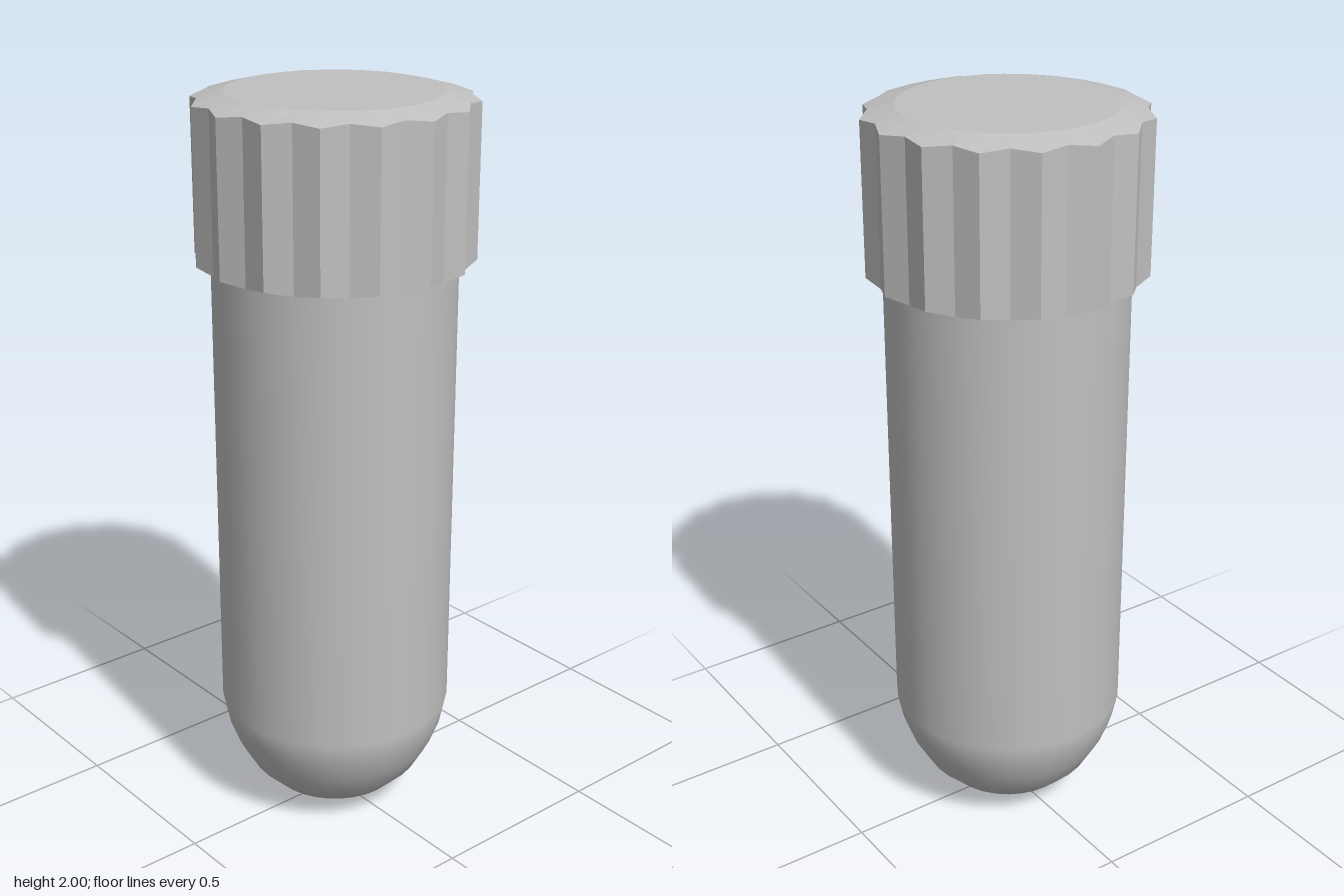
import * as THREE from 'three';

const RIDGES = 16;

// Fluted cap: loops of [tip radius, tip height, valley radius, valley height], bottom to top.
function fluteGeometry(loops) {
  const n = RIDGES * 2;
  const positions = [];
  const index = [];
  for (const [tipR, tipY, valleyR, valleyY] of loops) {
    for (let j = 0; j < n; j++) {
      const a = (j / n) * Math.PI * 2;
      const r = j % 2 ? valleyR : tipR;
      positions.push(r * Math.sin(a), j % 2 ? valleyY : tipY, r * Math.cos(a));
    }
  }
  for (let i = 0; i < loops.length - 1; i++) {
    for (let j = 0; j < n; j++) {
      const a = i * n + j;
      const b = i * n + ((j + 1) % n);
      index.push(a, b, b + n, a, b + n, a + n);
    }
  }
  // Flat disc closing the top
  const top = (loops.length - 1) * n;
  positions.push(0, loops[loops.length - 1][1], 0);
  for (let j = 0; j < n; j++) index.push(top + j, top + ((j + 1) % n), loops.length * n);

  const indexed = new THREE.BufferGeometry();
  indexed.setAttribute('position', new THREE.Float32BufferAttribute(positions, 3));
  indexed.setIndex(index);
  const flat = indexed.toNonIndexed(); // separate faces keep every flute crisp
  flat.computeVertexNormals();
  return flat;
}

export function createModel() {
  const group = new THREE.Group();
  group.name = 'cappedTube';
  const grey = new THREE.MeshStandardMaterial({ color: 0xc0c0c0 });
  grey.name = 'lightGrey';

  // Tube with a rounded bottom
  const profile = [
    [0, 0], [0.11, 0.016], [0.185, 0.055], [0.24, 0.11], [0.28, 0.18],
    [0.305, 0.245], [0.318, 0.31], [0.318, 1.6],
  ].map(([r, y]) => new THREE.Vector2(r, y));
  const tube = new THREE.Mesh(new THREE.LatheGeometry(profile, 32), grey);
  tube.name = 'tube';

  // Ridged screw cap with chamfered rims
  const cap = new THREE.Mesh(fluteGeometry([
    [0.3, 1.562, 0.3, 1.562],
    [0.363, 1.577, 0.341, 1.569],
    [0.363, 1.977, 0.341, 1.984],
    [0.277, 2, 0.275, 2],
  ]), grey);
  cap.name = 'cap';

  group.add(tube, cap);
  return group;
}
